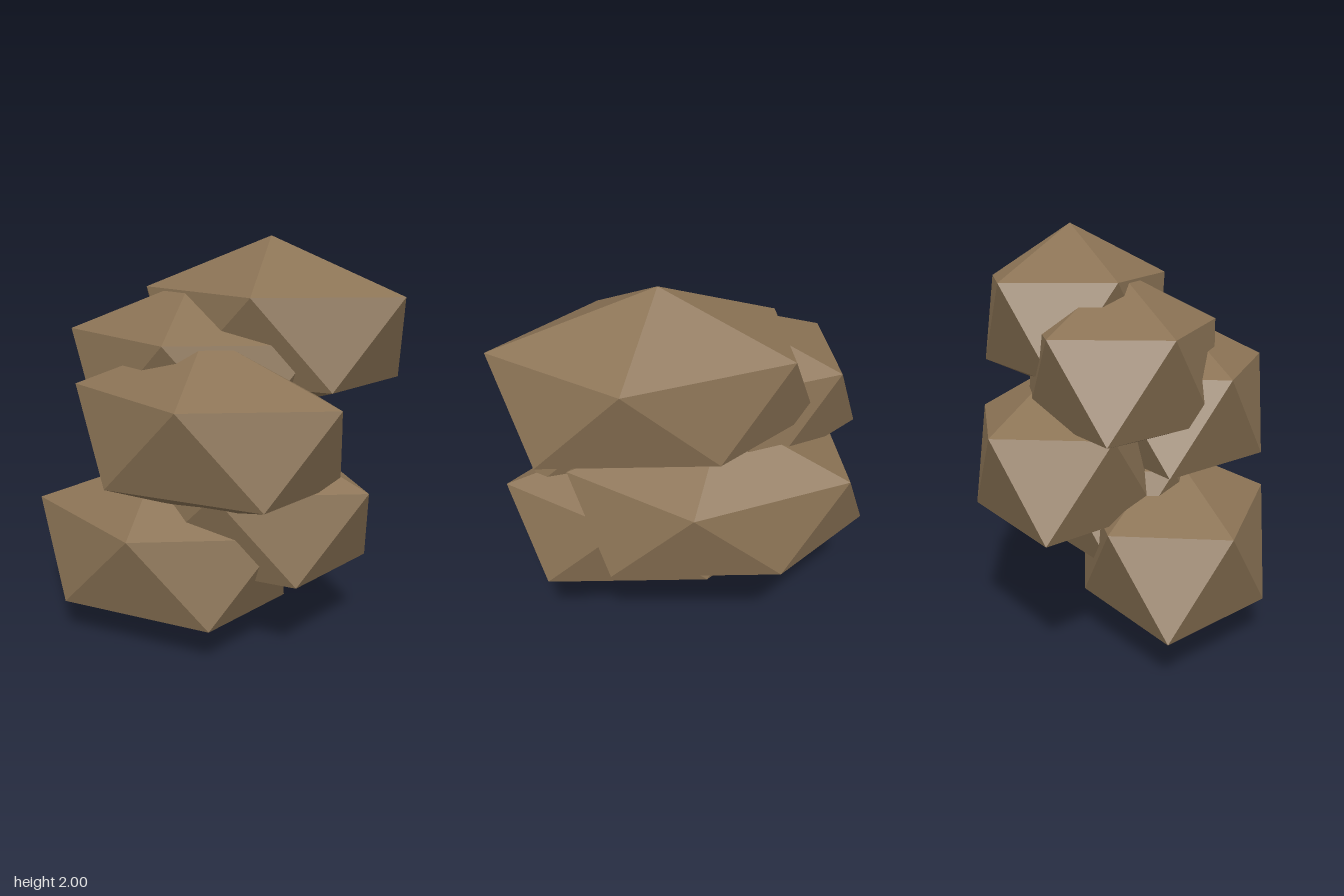
import * as THREE from 'three';

// Faceted boulder: a top point, two staggered five-corner rings and a bottom point
function boulderGeometry() {
  const top = [0, 0.48, 0];
  const upper = [[0.765, 0.22, 0], [0.235, 0.22, 0.49], [-0.605, 0.21, 0.285], [-0.565, 0.205, -0.275], [0.22, 0.2, -0.455]];
  const lower = [[0.56, -0.215, 0.28], [-0.235, -0.225, 0.465], [-0.755, -0.225, 0], [-0.215, -0.2, -0.415], [0.595, -0.215, -0.29]];
  const bottom = [0, -0.41, 0];
  const corners = [];
  for (let i = 0; i < 5; i++) {
    const j = (i + 1) % 5;
    corners.push(
      top, upper[j], upper[i],
      upper[i], upper[j], lower[i],
      lower[i], upper[j], lower[j],
      bottom, lower[i], lower[j]
    );
  }
  const geometry = new THREE.BufferGeometry();
  geometry.setAttribute('position', new THREE.Float32BufferAttribute(corners.flat(), 3));
  geometry.computeVertexNormals();
  return geometry;
}

export function createModel() {
  const group = new THREE.Group();
  group.name = 'boulderStack';
  const stone = new THREE.MeshStandardMaterial({ color: 0x8b7355 });
  stone.name = 'brownStone';
  stone.flatShading = true;
  const geometry = boulderGeometry();

  // Six boulders rise in even steps, alternating sideways and cycling front to back
  for (let i = 0; i < 6; i++) {
    const boulder = new THREE.Mesh(geometry, stone);
    boulder.name = `boulder${i + 1}`;
    boulder.position.set(i % 2 ? 0.147 : -0.163, 0.415 + i * 0.221, 0.243 - (i % 3) * 0.264);
    group.add(boulder);
  }
  return group;
}
